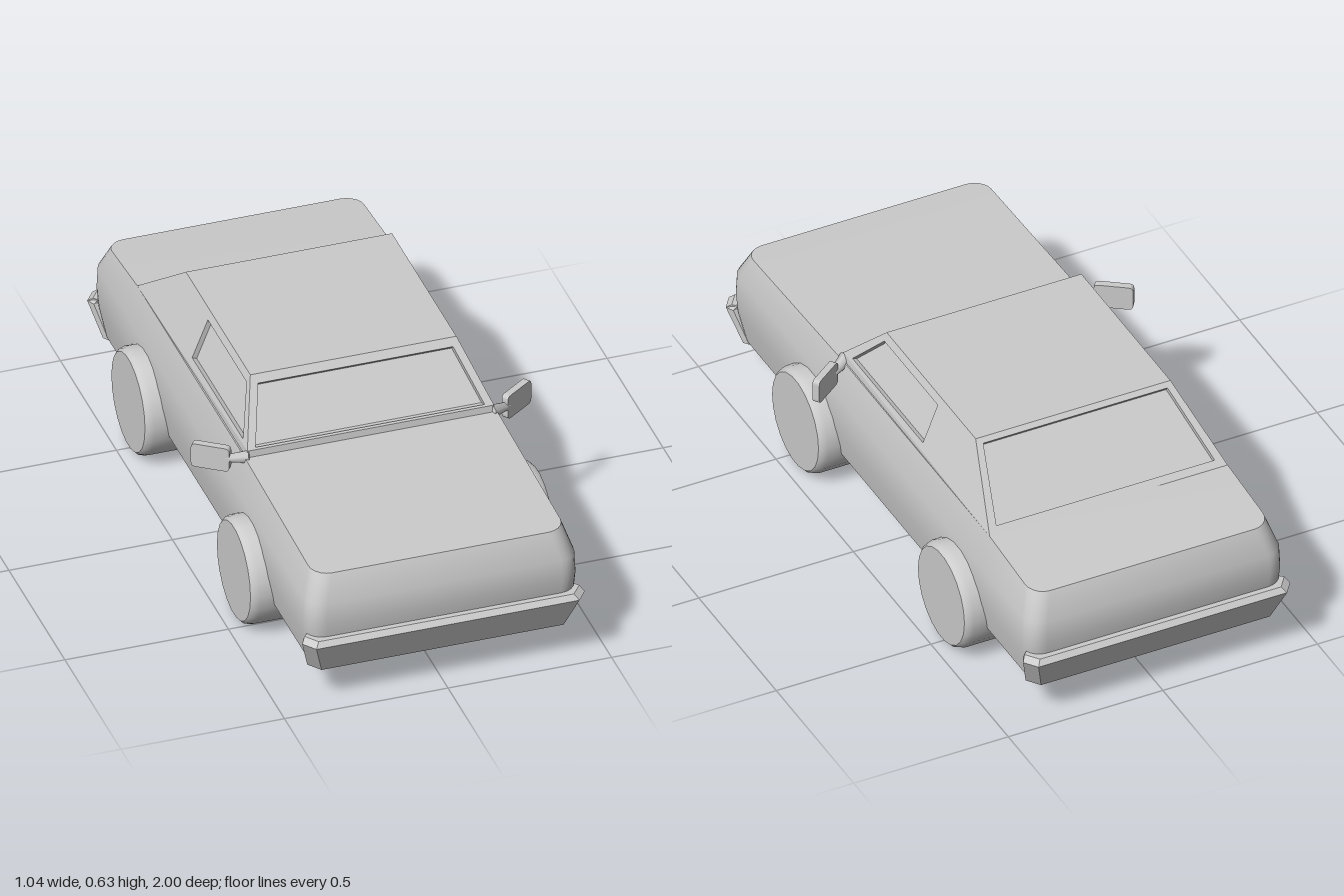
import * as THREE from 'three';
import { toCreasedNormals } from 'three/addons/utils/BufferGeometryUtils.js';

const material = new THREE.MeshStandardMaterial({ color: 0xcccccc });

function addMesh(parent, name, geometry) {
  const mesh = new THREE.Mesh(geometry, material);
  mesh.name = name;
  parent.add(mesh);
  return mesh;
}

// Geometry from four-cornered faces, corners counter-clockwise from outside
function fromQuads(quads, crease) {
  const pos = quads.flatMap(([a, b, c, d]) => [a, b, c, a, c, d].flat());
  const g = new THREE.BufferGeometry();
  g.setAttribute('position', new THREE.Float32BufferAttribute(pos, 3));
  return toCreasedNormals(g, crease);
}

const flip = ([x, y, z]) => [-x, y, z];

// Closed solid from half outlines (+x side, front to back), stacked upwards
function loft(halves, crease = 0.65) {
  const rings = halves.map(h => [...h, ...h.map(flip).reverse()]);
  const n = rings[0].length;
  const quads = [];
  for (let k = 0; k + 1 < rings.length; k++) {
    for (let i = 0; i < n; i++) {
      const j = (i + 1) % n;
      quads.push([rings[k][i], rings[k][j], rings[k + 1][j], rings[k + 1][i]]);
    }
  }
  const low = halves[0], top = halves[halves.length - 1];
  for (let i = 0; i + 1 < low.length; i++) {
    quads.push([top[i], top[i + 1], flip(top[i + 1]), flip(top[i])]);
    quads.push([low[i + 1], low[i], flip(low[i]), flip(low[i + 1])]);
  }
  return fromQuads(quads, crease);
}

// Flat panel with a recessed window
function windowPanel(outer, hole, depth) {
  const [a, b, c] = hole.map(p => new THREE.Vector3(...p));
  const inward = b.sub(a).cross(c.sub(a)).normalize().multiplyScalar(-depth);
  const pane = hole.map(p => new THREE.Vector3(...p).add(inward).toArray());
  const quads = [pane];
  for (let i = 0; i < 4; i++) {
    const j = (i + 1) % 4;
    quads.push([outer[i], outer[j], hole[j], hole[i]]);
    quads.push([hole[i], hole[j], pane[j], pane[i]]);
  }
  return fromQuads(quads, 0.2);
}

// Height of the bonnet and boot lid along the car
function deckY(z) {
  if (z > 0.3) return 0.455 - (z - 0.3) * 0.04;
  if (z < -0.65) return 0.455 + (z + 0.65) * 0.09;
  return 0.455;
}

// Half of a rounded rectangle, with breaks where the cabin meets the decks
function bodyOutline(hx, hz, y) {
  const r = 0.055, steps = 5, corner = [];
  for (let i = 0; i <= steps; i++) {
    const a = (i / steps) * Math.PI / 2;
    corner.push([hx - r + r * Math.sin(a), hz - r + r * Math.cos(a)]);
  }
  const plan = [...corner, [hx, 0.3], [hx, -0.65], ...corner.map(([x, z]) => [x, -z]).reverse()];
  return plan.map(([x, z]) => [x, y ?? deckY(z), z]);
}

function addCabin(car) {
  const cabin = new THREE.Group();
  cabin.name = 'cabin';
  car.add(cabin);
  const at = (z, y) => [0.385 - 0.4 * (y - 0.455), y, z]; // point on the sloping side
  const cowl = at(0.31, 0.475), roofFront = at(0.155, 0.63);
  const roofBack = at(-0.42, 0.63), tail = at(-0.65, 0.455);

  addMesh(cabin, 'waistline', loft([
    [[0.385, 0.43, 0.318], [0.385, 0.43, -0.65]],
    [cowl, tail],
  ], 0.2));
  addMesh(cabin, 'roof', fromQuads([[roofFront, roofBack, flip(roofBack), flip(roofFront)]], 0.2));

  // Windscreen and rear window
  addMesh(cabin, 'windscreen', windowPanel(
    [flip(cowl), cowl, roofFront, flip(roofFront)],
    [[-0.35, 0.48, 0.305], [0.35, 0.48, 0.305], [0.298, 0.61, 0.175], [-0.298, 0.61, 0.175]], 0.018));
  addMesh(cabin, 'rearWindow', windowPanel(
    [tail, flip(tail), flip(roofBack), roofBack],
    [[0.353, 0.47, -0.63], [-0.353, 0.47, -0.63], [-0.298, 0.6186, -0.435], [0.298, 0.6186, -0.435]], 0.015));

  // Side windows
  const outer = [cowl, tail, roofBack, roofFront];
  const hole = [at(0.26, 0.485), at(-0.195, 0.485), at(-0.195, 0.605), at(0.15, 0.605)];
  addMesh(cabin, 'leftSide', windowPanel(outer, hole, 0.015));
  addMesh(cabin, 'rightSide', windowPanel(outer.map(flip).reverse(), hole.map(flip).reverse(), 0.015));
}

// Bumper that leans outwards and wraps around the corners
function bumperGeometry() {
  const level = (y, w, front, back) => [
    [w - 0.03, y, front], [w, y, front - 0.04], [w - 0.012, y, back],
  ];
  return loft([
    level(0.115, 0.4, 0.952, 0.895),
    level(0.222, 0.432, 1, 0.935),
    level(0.237, 0.42, 0.985, 0.932),
  ], 0.3);
}

function wheelGeometry() {
  const half = 0.0775;
  const profile = [
    [0, -half], [0.15, -half], [0.158, -half + 0.008], [0.163, -half + 0.025],
    [0.163, half - 0.025], [0.158, half - 0.008], [0.15, half], [0, half],
  ].map(p => new THREE.Vector2(...p));
  return toCreasedNormals(new THREE.LatheGeometry(profile, 22).rotateZ(-Math.PI / 2), 0.6);
}

// Mirror head with rounded corners, centred on its own middle
function mirrorGeometry() {
  const w = 0.058, h = 0.039, r = 0.014;
  const s = new THREE.Shape();
  s.moveTo(-w + r, -h);
  s.lineTo(w - r, -h);
  s.quadraticCurveTo(w, -h, w, -h + r);
  s.lineTo(w, h - r);
  s.quadraticCurveTo(w, h, w - r, h);
  s.lineTo(-w + r, h);
  s.quadraticCurveTo(-w, h, -w, h - r);
  s.lineTo(-w, -h + r);
  s.quadraticCurveTo(-w, -h, -w + r, -h);
  return new THREE.ExtrudeGeometry(s, { depth: 0.022, bevelEnabled: false, curveSegments: 4 })
    .translate(0, 0, -0.011);
}

export function createModel() {
  const car = new THREE.Group();
  car.name = 'car';

  // Lower body
  addMesh(car, 'body', loft([
    bodyOutline(0.395, 0.945, 0.13),
    bodyOutline(0.411, 0.966, 0.22),
    bodyOutline(0.415, 0.972, 0.28),
    bodyOutline(0.412, 0.97, 0.35),
    bodyOutline(0.385, 0.932),
  ]));
  addCabin(car);

  // Bumpers
  const bumper = bumperGeometry();
  addMesh(car, 'frontBumper', bumper);
  addMesh(car, 'rearBumper', bumper).rotation.y = Math.PI;

  // Wheels and door mirrors
  const wheel = wheelGeometry(), head = mirrorGeometry();
  const stem = new THREE.CylinderGeometry(0.012, 0.022, 0.075, 6);
  for (const [side, s] of [['left', 1], ['right', -1]]) {
    addMesh(car, side + 'FrontWheel', wheel).position.set(s * 0.3875, 0.165, 0.445);
    addMesh(car, side + 'RearWheel', wheel).position.set(s * 0.3875, 0.165, -0.497);

    const mirror = new THREE.Group();
    mirror.name = side + 'Mirror';
    car.add(mirror);
    const headMesh = addMesh(mirror, 'mirrorHead', head);
    headMesh.position.set(s * 0.467, 0.44, 0.248);
    headMesh.rotation.y = s * 0.62;
    const stemMesh = addMesh(mirror, 'mirrorStem', stem);
    stemMesh.position.set(s * 0.4, 0.447, 0.291);
    stemMesh.quaternion.setFromUnitVectors(
      new THREE.Vector3(0, 1, 0), new THREE.Vector3(s * 0.055, -0.012, -0.03).normalize());
  }
  return car;
}
